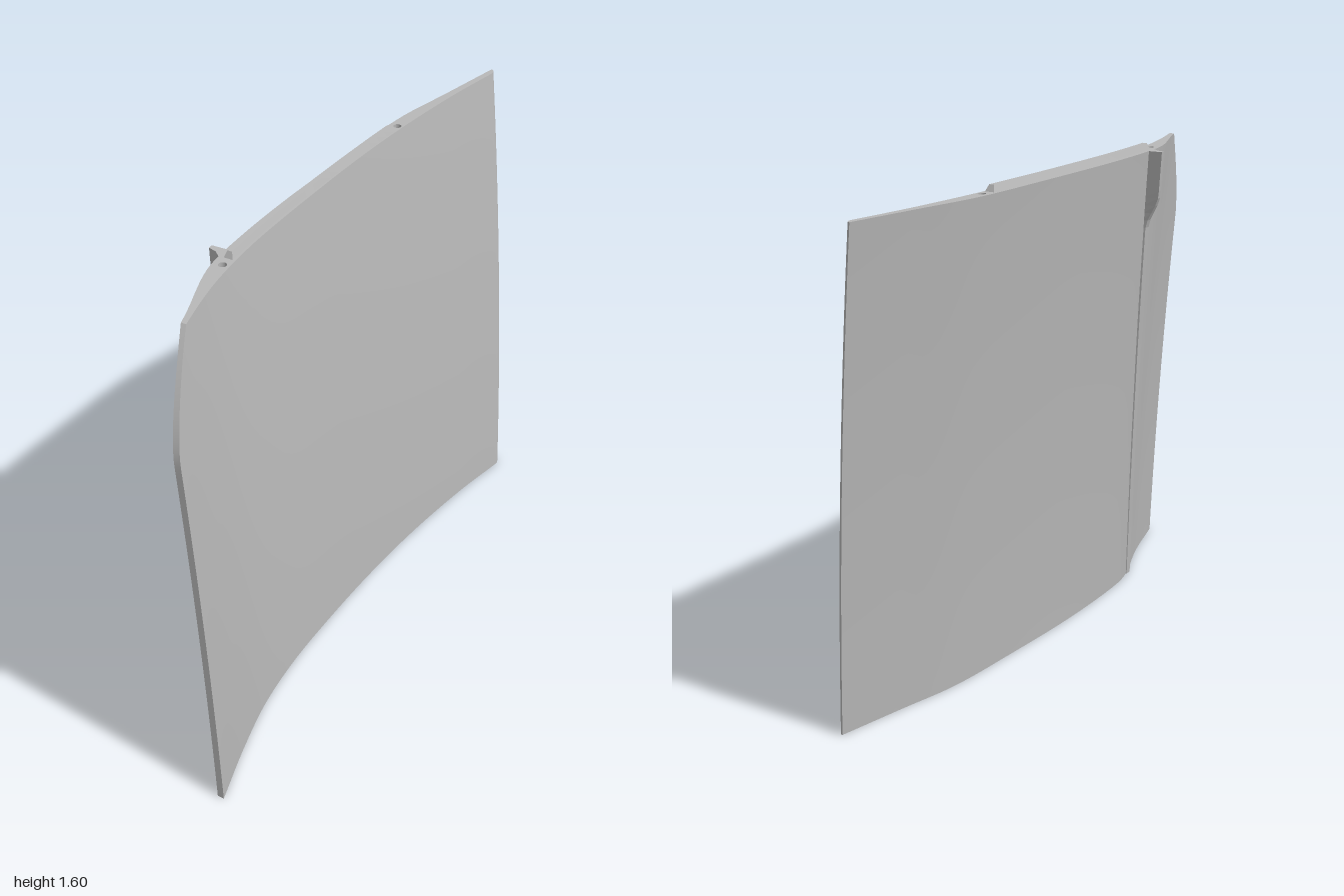
import * as THREE from 'three';

const H = 1.575;

// Smooth interpolation through a few [z, x] profile points
function profile(pts) {
  const slope = i => {
    const a = pts[Math.max(0, i - 1)], b = pts[Math.min(pts.length - 1, i + 1)];
    return (b[1] - a[1]) / (b[0] - a[0]);
  };
  return z => {
    let i = 0;
    while (i < pts.length - 2 && z > pts[i + 1][0]) i++;
    const [z0, x0] = pts[i], [z1, x1] = pts[i + 1], d = z1 - z0, t = (z - z0) / d;
    const t2 = t * t, t3 = t2 * t;
    return (2 * t3 - 3 * t2 + 1) * x0 + (t3 - 2 * t2 + t) * d * slope(i)
      + (3 * t2 - 2 * t3) * x1 + (t3 - t2) * d * slope(i + 1);
  };
}
const innerBase = profile([[-0.945, 0.165], [-0.7, 0.115], [-0.4, 0.073], [-0.1, 0.05], [0.2, 0.043],
  [0.4, 0.047], [0.6, 0.068], [0.8, 0.113], [1, 0.17]]);
const outerBase = profile([[-0.945, 0.145], [-0.72, 0.092], [-0.5, 0.04], [-0.2, 0.012], [0.1, -0.007],
  [0.4, -0.007], [0.55, 0.01], [0.78, 0.09], [1, 0.148]]);

// Panel limits and lean at each height
const backZ = y => -0.945 - 0.055 * y / H;
const frontZ = y => y < 1.25 ? 1 - 0.016 * y : 0.98 - 0.18 * Math.pow((y - 1.25) / 0.325, 1.5);
const lean = (y, z) => -(0.045 * y + 0.02 * y * y) * (1 + 0.12 * Math.max(0, -z));
const remap = (y, z) => z < 0 ? z * 0.945 / -backZ(y) : z;
const outerX = (y, z) => outerBase(remap(y, z)) + lean(y, z);
function innerX(y, z) {
  const bevel = Math.max(0, 1 - (z - backZ(y)) / 0.03);
  return innerBase(remap(y, z)) + lean(y, z) - 0.014 * bevel * bevel;
}
const midX = (y, z) => (innerX(y, z) + outerX(y, z)) / 2 + 0.004;

// Grid surface from fn(u, v) -> [x, y, z], facing du x dv
function sheet(fn, nu, nv, flat = false) {
  const pos = [], idx = [];
  for (let j = 0; j <= nv; j++) for (let i = 0; i <= nu; i++) pos.push(...fn(i / nu, j / nv));
  for (let j = 0; j < nv; j++) for (let i = 0; i < nu; i++) {
    const a = j * (nu + 1) + i, b = a + 1, c = a + nu + 1, d = c + 1;
    idx.push(a, b, d, a, d, c);
  }
  let g = new THREE.BufferGeometry();
  g.setAttribute('position', new THREE.Float32BufferAttribute(pos, 3));
  g.setIndex(idx);
  if (flat) g = g.toNonIndexed();
  g.computeVertexNormals();
  return g;
}

export function createModel() {
  const group = new THREE.Group();
  const grey = new THREE.MeshStandardMaterial({ color: 0xb8b8b8, side: THREE.DoubleSide });
  grey.name = 'panel grey';
  const add = (name, geo) => {
    const m = new THREE.Mesh(geo, grey);
    m.name = name;
    group.add(m);
  };
  const zAt = (y, t) => backZ(y) + (frontZ(y) - backZ(y)) * t;
  const N = 72, M = 48;
  // Rows bunch towards the top for the rounded corner
  const yAt = v => H * (1 - Math.pow(1 - v, 1.4));
  // Columns bunch towards both ends
  const ease = t => t - 0.12 * Math.sin(2 * Math.PI * t);

  // Curved panel faces
  add('innerFace', sheet((u, v) => {
    const y = yAt(v), z = zAt(y, 1 - ease(u));
    return [innerX(y, z), y, z];
  }, N, M));
  add('outerFace', sheet((u, v) => {
    const y = yAt(v), z = zAt(y, ease(u));
    return [outerX(y, z), y, z];
  }, N, M));
  add('frontEdge', sheet((u, v) => {
    const y = yAt(v), z = frontZ(y);
    return [THREE.MathUtils.lerp(outerX(y, z), innerX(y, z), u), y, z];
  }, 1, M));
  add('backEdge', sheet((u, v) => {
    const y = yAt(v), z = backZ(y);
    return [THREE.MathUtils.lerp(innerX(y, z), outerX(y, z), u), y, z];
  }, 1, M));

  // Outline of a strip following the panel's middle, as [x, z] points
  function strip(y, z0, z1, half) {
    const a = [], b = [];
    for (let i = 0; i <= 20; i++) {
      const z = z0 + (z1 - z0) * i / 20, x = midX(y, z);
      a.push([x - half, z]);
      b.unshift([x + half, z]);
    }
    return a.concat(b);
  }
  function circle(y, z, r) {
    return Array.from({ length: 16 }, (_, i) => {
      const a = i / 16 * Math.PI * 2;
      return [midX(y, z) + r * Math.cos(a), z + r * Math.sin(a)];
    });
  }
  // Flat face at height y facing up (dir 1) or down (dir -1)
  function flatFace(outline, y, dir, holes = []) {
    const vec = p => new THREE.Vector2(p[0], -dir * p[1]);
    const s = new THREE.Shape(outline.map(vec));
    holes.forEach(h => s.holes.push(new THREE.Path(h.map(vec))));
    return new THREE.ShapeGeometry(s).rotateX(-dir * Math.PI / 2).translate(0, y, 0);
  }
  function wall(a, ya, b, yb) {
    const n = a.length;
    return sheet((u, v) => {
      const i = Math.round(u * n) % n, p = v ? b[i] : a[i];
      return [p[0], v ? yb : ya, p[1]];
    }, n, 1, true);
  }

  // End faces with pin holes, and a groove underneath
  for (const [name, y, dir] of [['top', H, 1], ['bottom', 0, -1]]) {
    const outline = [];
    for (let i = 0; i <= N; i++) {
      const z = zAt(y, ease(i / N));
      outline.push([outerX(y, z), z]);
    }
    for (let i = N; i >= 0; i--) {
      const z = zAt(y, ease(i / N));
      outline.push([innerX(y, z), z]);
    }
    const holes = [circle(y, -0.48, 0.013), circle(y, 0.5, 0.013)];
    if (dir < 0) holes.push(strip(y, -0.445, 0.465, 0.015));
    add(name + 'EndFace', flatFace(outline, y, dir, holes));
    holes.forEach((h, i) => {
      const part = i < 2 ? name + 'PinHole' : 'bottomGroove', floor = y - dir * 0.025;
      add(part + 'Wall', wall(h, y, h, floor));
      add(part + 'Floor', flatFace(h, floor, dir));
    });
  }

  // Tongue along the top with sloping ends and sides
  const base = strip(H, -0.445, 0.465, 0.015), crest = strip(H, -0.435, 0.455, 0.008);
  add('topTongueSides', wall(crest, H + 0.02, base, H));
  add('topTongueCrest', flatFace(crest, H + 0.02, 1));

  // Narrow rib on the outer face, widening to a tab at the top
  const ribSection = y => {
    const s = THREE.MathUtils.smoothstep(y, 1.31, 1.43);
    const z = 0.58 - 0.14 * y / H, out = 0.007 + 0.04 * s;
    const z0 = z - 0.016, z1 = z + 0.016 + 0.016 * s;
    const tip = outerX(y, z) - out;
    return [[outerX(y, z0) + 0.005, z0], [tip, z0 + 0.003], [tip, z1 - 0.006 - 0.024 * s],
      [tip + 0.6 * out, z1 - 0.002 - 0.02 * s], [outerX(y, z1) + 0.005, z1]];
  };
  add('outerRib', sheet((u, v) => {
    const y = H * v, p = ribSection(y)[Math.round(u * 4)];
    return [p[0], y, p[1]];
  }, 4, 60, true));
  add('ribTopFace', flatFace(ribSection(H), H, 1));
  add('ribBottomFace', flatFace(ribSection(0), 0, -1));

  return group;
}
